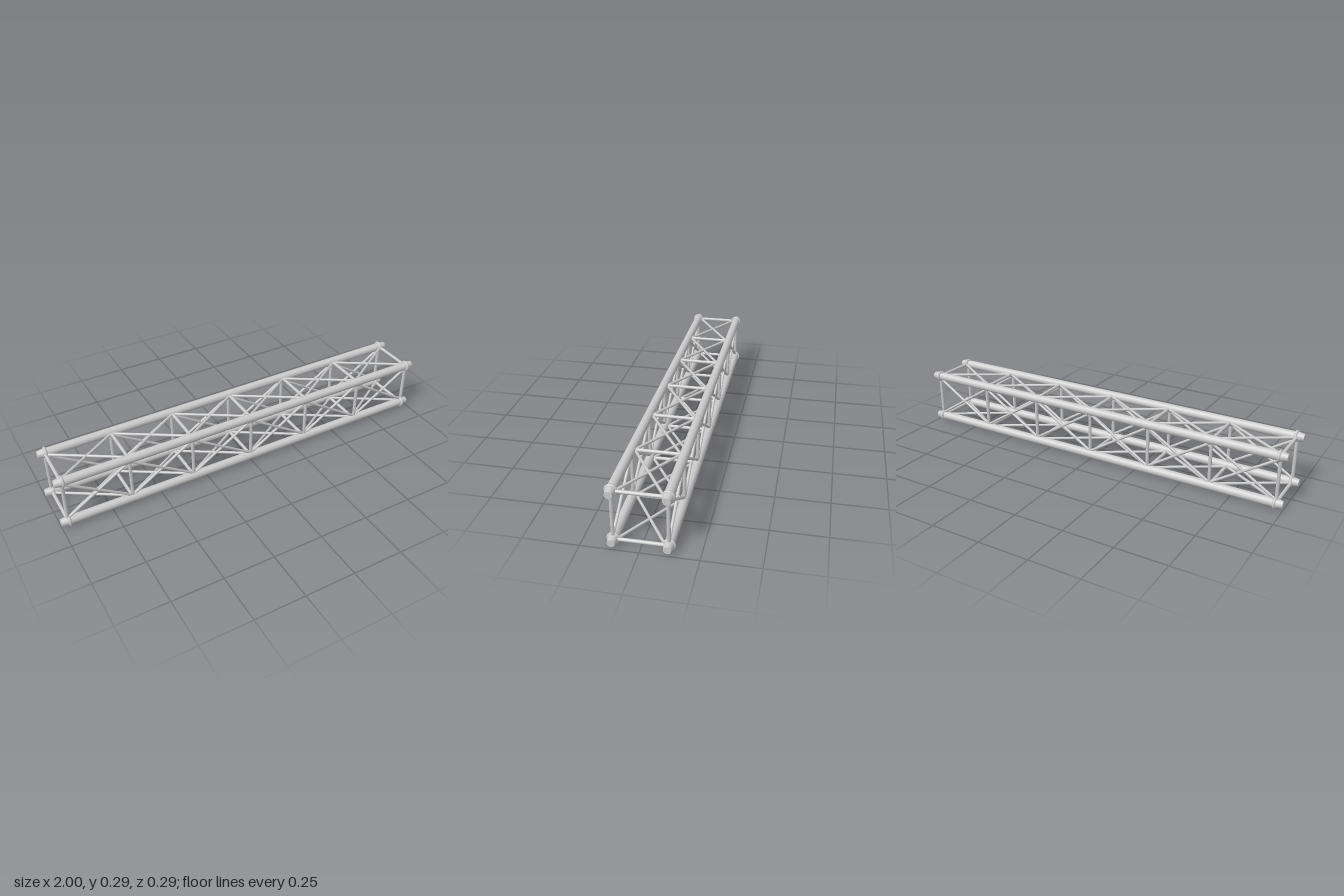
import * as THREE from 'three';

const material = new THREE.MeshStandardMaterial({ color: 0xcccccc });

const PANELS = 6;
const END = 0.966;            // x of the outermost frames
const HALF = 0.1165;          // chord offset from the truss axis
const MID = 0.148;            // height of the truss axis
const CHORD_R = 0.0215;
const INSET = 0.015;          // diagonals meet the inner side of the chords

// Round bar between two points
function bar(name, a, b, radius, sides) {
  const dir = b.clone().sub(a);
  const mesh = new THREE.Mesh(new THREE.CylinderGeometry(radius, radius, dir.length(), sides), material);
  mesh.position.copy(a).add(b).multiplyScalar(0.5);
  mesh.quaternion.setFromUnitVectors(new THREE.Vector3(0, 1, 0), dir.normalize());
  mesh.name = name;
  return mesh;
}

// Main tube with a tapered end and a collar on both sides
function createChord() {
  const chord = new THREE.Group();
  chord.name = 'chord';
  chord.add(bar('chordTube', new THREE.Vector3(-0.97, 0, 0), new THREE.Vector3(0.97, 0, 0), CHORD_R, 16));
  for (const s of [-1, 1]) {
    const tip = new THREE.Mesh(new THREE.CylinderGeometry(0.017, 0.0235, 0.035, 16), material);
    tip.name = 'taperedEnd';
    tip.rotation.z = -s * Math.PI / 2;
    tip.position.x = s * 0.9825;
    const collar = new THREE.Mesh(new THREE.TorusGeometry(0.0225, 0.007, 8, 12), material);
    collar.name = 'collar';
    collar.rotation.y = Math.PI / 2;
    collar.position.x = s * 0.962;
    chord.add(tip, collar);
  }
  return chord;
}

// One side of the truss in the plane z = HALF: posts and crossed diagonals
function createLattice() {
  const lattice = new THREE.Group();
  lattice.name = 'lattice';
  const step = 2 * END / PANELS;
  const h = HALF - INSET;
  for (let i = 0; i <= PANELS; i++) {
    const x = -END + i * step;
    lattice.add(bar('post', new THREE.Vector3(x, -HALF, HALF), new THREE.Vector3(x, HALF, HALF), 0.0085, 8));
    if (i === PANELS) break;
    for (const s of [-1, 1]) {
      lattice.add(bar('diagonal', new THREE.Vector3(x, -s * h, HALF),
        new THREE.Vector3(x + step, s * h, HALF), 0.0068, 8));
    }
  }
  return lattice;
}

export function createModel() {
  const truss = new THREE.Group();
  truss.name = 'boxTruss';

  // Four chords at the corners
  for (const y of [-HALF, HALF]) {
    for (const z of [-HALF, HALF]) {
      const chord = createChord();
      chord.position.set(0, y, z);
      truss.add(chord);
    }
  }

  // The same lattice on all four sides
  for (let i = 0; i < 4; i++) {
    const side = createLattice();
    side.rotation.x = i * Math.PI / 2;
    truss.add(side);
  }

  truss.position.y = MID;
  const model = new THREE.Group();
  model.name = 'truss';
  model.add(truss);
  return model;
}
